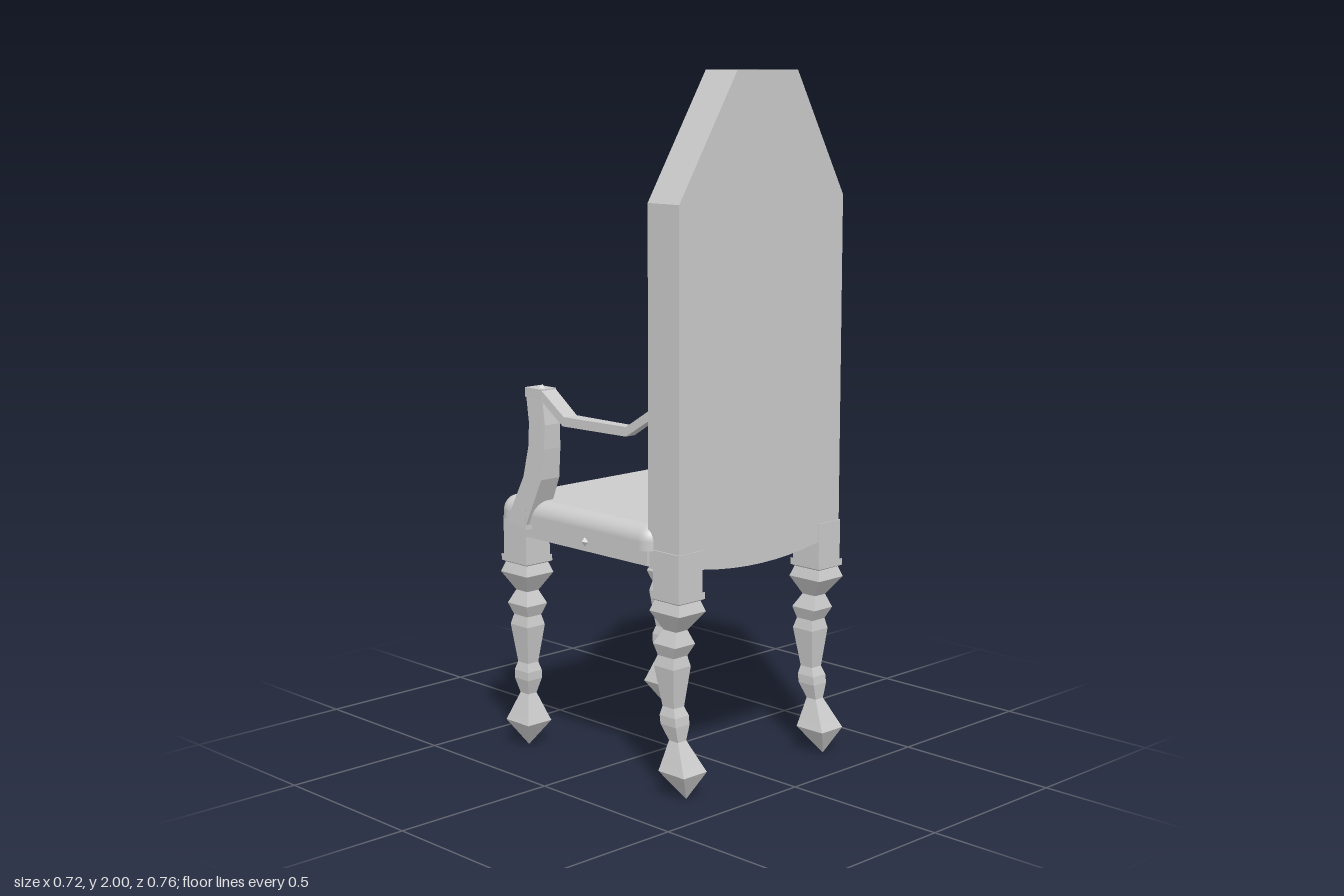
import * as THREE from 'three';
import { RoundedBoxGeometry } from 'three/addons/geometries/RoundedBoxGeometry.js';

const flat = new THREE.MeshStandardMaterial({ color: 0xcccccc, flatShading: true });
const smooth = new THREE.MeshStandardMaterial({ color: 0xcccccc });
const toShape = (pts) => new THREE.Shape(pts.map(([x, y]) => new THREE.Vector2(x, y)));

// Move every vertex of a geometry by a rule
function warp(geo, rule) {
  const p = geo.attributes.position;
  const v = new THREE.Vector3();
  for (let i = 0; i < p.count; i++) {
    rule(v.fromBufferAttribute(p, i));
    p.setXYZ(i, v.x, v.y, v.z);
  }
  geo.computeVertexNormals();
  return geo;
}

// Side profile given as [z, y], with its x centre and width set by a rule
function sideProfile(pts, side, centre, width) {
  const geo = new THREE.ExtrudeGeometry(toShape(pts), { depth: 1, bevelEnabled: false });
  geo.translate(0, 0, -0.5).rotateY(-Math.PI / 2);
  return warp(geo, (v) => { v.x = side * centre(v) + v.x * width(v); });
}

// Pointed-arch outline of the back, with an optional curved bottom edge
function backOutline(w, bottom, shoulder, topW, top, sag = 0) {
  const s = new THREE.Shape();
  s.moveTo(-w, bottom);
  if (sag) {
    s.lineTo(-0.23, bottom);
    s.quadraticCurveTo(0, bottom - 2 * sag, 0.23, bottom);
  }
  s.lineTo(w, bottom);
  s.lineTo(w, shoulder);
  s.lineTo(topW + 0.012, top);
  s.lineTo(-topW + 0.012, top);
  s.lineTo(-w, shoulder);
  s.closePath();
  return s;
}

// Square turned leg as [half width, y]; the rear pair follows a bent centre line
const LEG = [[0.001, 0.005], [0.045, 0.08], [0.038, 0.1], [0.016, 0.165], [0.027, 0.21], [0.027, 0.235],
  [0.02, 0.26], [0.034, 0.375], [0.027, 0.405], [0.039, 0.44], [0.022, 0.48], [0.052, 0.535],
  [0.042, 0.565], [0.05, 0.57], [0.05, 0.59]];
const BEND = [[0, 0.035], [0.08, 0.02], [0.21, -0.01], [0.3, -0.022], [0.4, -0.02], [0.535, 0], [1, 0]];
function bend(y) {
  const i = Math.max(1, BEND.findIndex(([h]) => h >= y));
  const [a, b] = [BEND[i - 1], BEND[i]];
  return THREE.MathUtils.mapLinear(y, a[0], b[0], a[1], b[1]);
}
function legGeometry(rear) {
  const pts = LEG.map(([r, y]) => new THREE.Vector2(r * Math.SQRT2, y));
  return warp(new THREE.LatheGeometry(pts, 4, Math.PI / 4), (v) => {
    v.z *= 1.12;
    if (rear) v.z += bend(v.y);
  });
}

export function createModel() {
  const chair = new THREE.Group();
  chair.name = 'armchair';
  const add = (name, geo, x = 0, y = 0, z = 0, material = flat) => {
    const m = new THREE.Mesh(geo, material);
    m.name = name;
    m.position.set(x, y, z);
    chair.add(m);
    return m;
  };
  const box = (name, w, h, d, x, y, z) => add(name, new THREE.BoxGeometry(w, h, d), x, y, z);

  // Tall back: slab, raised frame and bevelled centre panel
  const outline = () => backOutline(0.327, 0.65, 1.65, 0.12, 2, 0.02);
  add('backSlab', new THREE.ExtrudeGeometry(outline(), { depth: 0.06, bevelEnabled: false, curveSegments: 8 }), 0, 0, 0.305);
  const frame = outline();
  frame.holes.push(backOutline(0.262, 0.71, 1.63, 0.088, 1.94));
  add('backFrame', new THREE.ExtrudeGeometry(frame, { depth: 0.06, bevelEnabled: false, curveSegments: 8 }), 0, 0, 0.245);
  add('backPanel', new THREE.ExtrudeGeometry(backOutline(0.209, 0.72, 1.6, 0.052, 1.87), {
    depth: 0.02, bevelThickness: 0.025, bevelSize: 0.027, bevelSegments: 1,
  }), 0, 0, 0.305);
  // Raise the panel face above the recess
  chair.children.at(-1).geometry.translate(0, 0, 0);
  warp(chair.children.at(-1).geometry, (v) => { if (v.z > 0.01) v.z = 0.03; });

  // Cushion with a rounded upper edge and a flat underside
  const cushion = new RoundedBoxGeometry(0.696, 0.14, 0.645, 5, 0.045);
  const p = cushion.attributes.position;
  const n = cushion.attributes.normal;
  for (let i = 0; i < p.count; i++) {
    if (p.getY(i) < 0) p.setY(i, 0);
    if (n.getY(i) < -0.1) n.setXYZ(i, 0, -1, 0);
  }
  add('cushion', cushion, 0, 0.7, -0.05, smooth);

  // Seat rails and underside
  box('frontRail', 0.6, 0.045, 0.04, 0, 0.68, -0.335);
  box('seatBoard', 0.6, 0.02, 0.58, 0, 0.675, -0.05);

  // Small four-sided studs
  const stud = (x, y, z, rx, rz) => {
    const m = add('stud', new THREE.ConeGeometry(0.018, 0.014, 4), x, y, z);
    m.rotation.set(rx, 0, rz);
  };
  stud(0.012, 1.97, 0.239, -Math.PI / 2, 0);
  stud(0, 0.685, -0.361, -Math.PI / 2, 0);

  const post = [[-0.32, 0.685], [-0.318, 0.7], [-0.248, 0.84], [-0.229, 0.93], [-0.228, 1.0], [-0.242, 1.08],
    [-0.172, 1.08], [-0.158, 1.0], [-0.16, 0.93], [-0.17, 0.84], [-0.232, 0.7], [-0.232, 0.685]];
  const arm = [[0.25, 1.092], [0.155, 1.032], [-0.085, 1.032], [-0.175, 1.098],
    [-0.175, 1.068], [-0.09, 1.005], [0.155, 1.005], [0.25, 1.064]];

  for (const s of [1, -1]) {
    box('sideRail', 0.04, 0.045, 0.6, s * 0.316, 0.68, -0.05);
    stud(s * 0.34, 0.685, -0.005, 0, -s * Math.PI / 2);
    stud(s * 0.29, 1.655, 0.239, -Math.PI / 2, 0);

    // Legs with their square blocks
    for (const [name, z, rear] of [['frontLeg', -0.317, false], ['rearLeg', 0.317, true]]) {
      add(name, legGeometry(rear), s * 0.285, 0, z);
      box(name + 'Block', 0.092, 0.12, 0.1, s * 0.285, 0.645, z);
    }

    // Curved arm posts, wider at the foot
    const t = (v) => THREE.MathUtils.clamp((v.y - 0.7) / 0.36, 0, 1);
    add('armPost', sideProfile(post, s, () => 0.319, (v) => 0.08 - 0.028 * t(v)));
    box('armCap', 0.056, 0.028, 0.072, s * 0.318, 1.087, -0.21);
    stud(s * 0.32, 1.105, -0.2, 0, 0);

    // Dipped armrests, narrowing towards the back
    const back = (v) => THREE.MathUtils.clamp((v.z + 0.17) / 0.42, 0, 1);
    add('armrest', sideProfile(arm, s, (v) => 0.318 - 0.012 * back(v), (v) => 0.054 - 0.026 * back(v)));
  }
  return chair;
}
